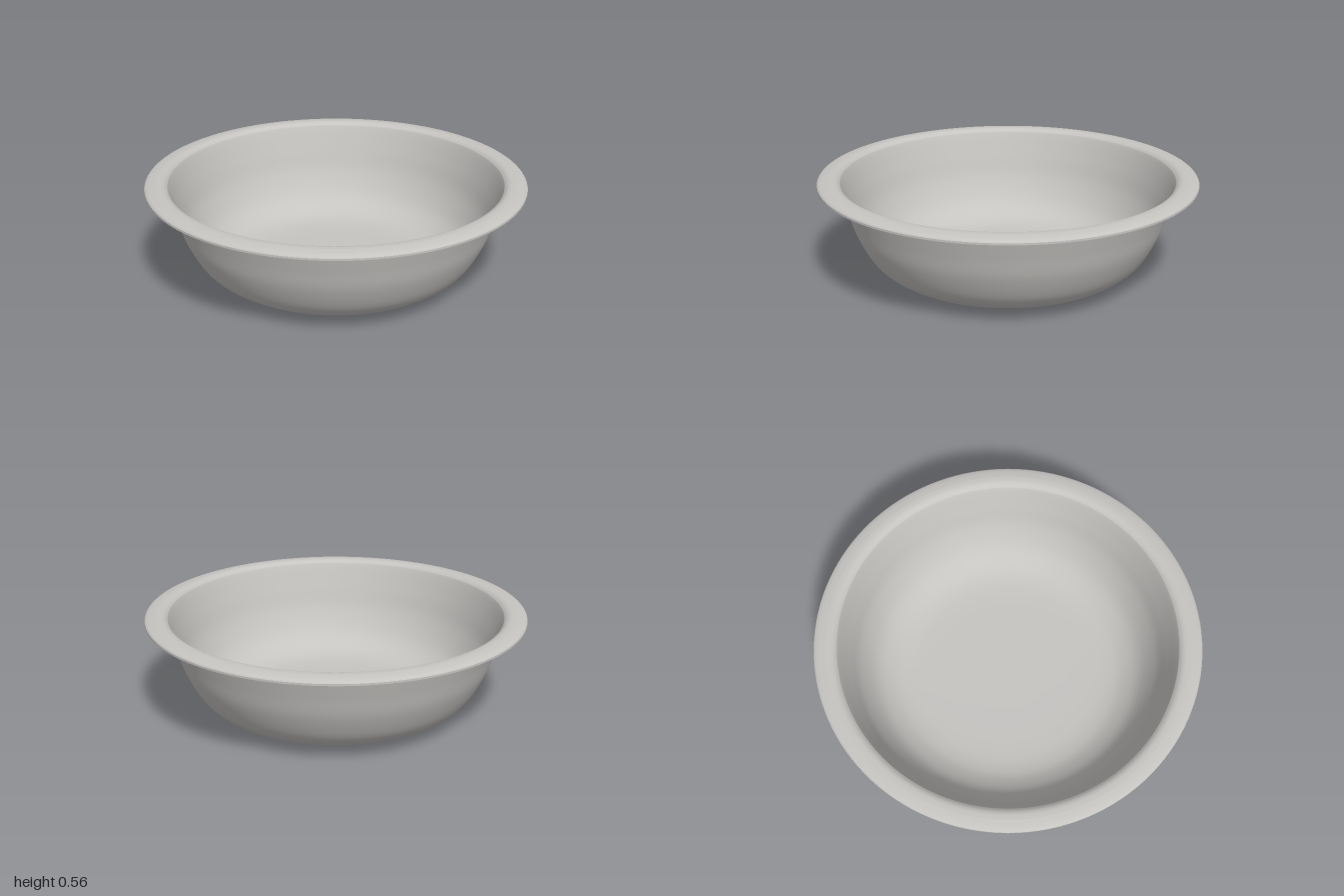
import * as THREE from 'three';

const SEGMENTS = 128;

export function createModel() {
  const bowl = new THREE.Group();
  bowl.name = 'bowl';
  const ceramic = new THREE.MeshStandardMaterial({ color: 0xc6c4c1 });
  ceramic.name = 'lightGreyCeramic';

  const toPoints = (pairs) => pairs.map(([r, y]) => new THREE.Vector2(r, y));

  // Revolves one smooth stretch of the profile; separate stretches meet in sharp edges.
  function revolve(name, points) {
    const mesh = new THREE.Mesh(new THREE.LatheGeometry(points, SEGMENTS), ceramic);
    mesh.name = name;
    bowl.add(mesh);
  }
  const straight = (name, ...pairs) => revolve(name, toPoints(pairs));
  const curved = (name, count, ...pairs) =>
    revolve(name, new THREE.SplineCurve(toPoints(pairs)).getPoints(count));

  // Underside and raised foot ring
  straight('underside', [0, 0.02], [0.46, 0.02]);
  straight('footInner', [0.46, 0.02], [0.46, 0]);
  straight('footBottom', [0.46, 0], [0.505, 0]);
  straight('footOuter', [0.505, 0], [0.505, 0.022]);

  // Outer wall sweeping up to the rim
  curved('outerWall', 40,
    [0.505, 0.022], [0.58, 0.034], [0.66, 0.069], [0.74, 0.14],
    [0.81, 0.27], [0.85, 0.395], [0.89, 0.525]);

  // Flat flange with a rounded upper edge
  straight('rimUnderside', [0.89, 0.525], [1, 0.525]);
  straight('rimEdge', [1, 0.525], [1, 0.535]);
  curved('rimTop', 20,
    [1, 0.535], [0.992, 0.543], [0.97, 0.55], [0.94, 0.555]);

  // Rim rolling over into the inner wall, then the floor
  curved('interior', 64,
    [0.94, 0.555], [0.91, 0.554], [0.888, 0.543], [0.874, 0.52], [0.833, 0.4],
    [0.79, 0.275], [0.72, 0.155], [0.64, 0.088], [0.56, 0.057],
    [0.45, 0.045], [0.25, 0.042], [0, 0.042]);

  return bowl;
}
